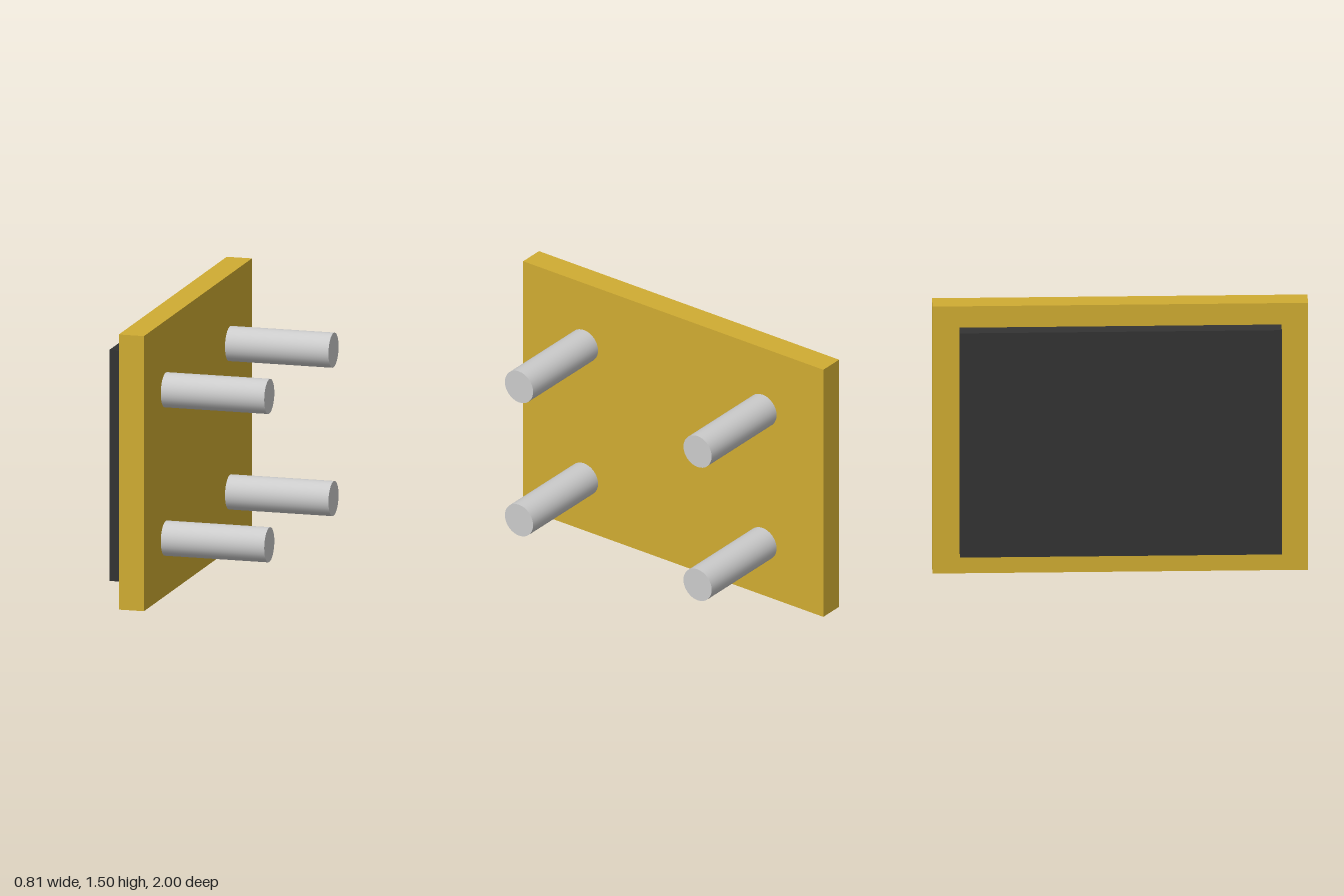
import * as THREE from 'three';

export function createModel() {
  const group = new THREE.Group();
  const gold = new THREE.MeshStandardMaterial({ color: 0xd0ac32 });
  const dark = new THREE.MeshStandardMaterial({ color: 0x333333 });
  const grey = new THREE.MeshStandardMaterial({ color: 0xcccccc });

  // Box spanning x0..x1, centred on the plate's middle height
  const slab = (name, x0, x1, height, depth, material) => {
    const mesh = new THREE.Mesh(new THREE.BoxGeometry(x1 - x0, height, depth), material);
    mesh.name = name;
    mesh.position.set((x0 + x1) / 2, 0.75, 0);
    group.add(mesh);
  };

  // Upright plate with a smaller pad on its right face
  slab('plate', -0.31, -0.17, 1.5, 2, gold);
  slab('pad', -0.405, -0.31, 1.26, 1.714, dark);

  // Four round pegs on the left face
  const pegStart = -0.17, pegEnd = 0.405;
  const pegGeometry = new THREE.CylinderGeometry(0.094, 0.094, pegEnd - pegStart, 32);
  pegGeometry.rotateZ(-Math.PI / 2);
  for (const [height, y] of [['lower', 0.313], ['upper', 1.122]]) {
    for (const [end, z] of [['Front', 0.595], ['Back', -0.595]]) {
      const peg = new THREE.Mesh(pegGeometry, grey);
      peg.name = `${height}${end}Peg`;
      peg.position.set((pegStart + pegEnd) / 2, y, z);
      group.add(peg);
    }
  }

  return group;
}
